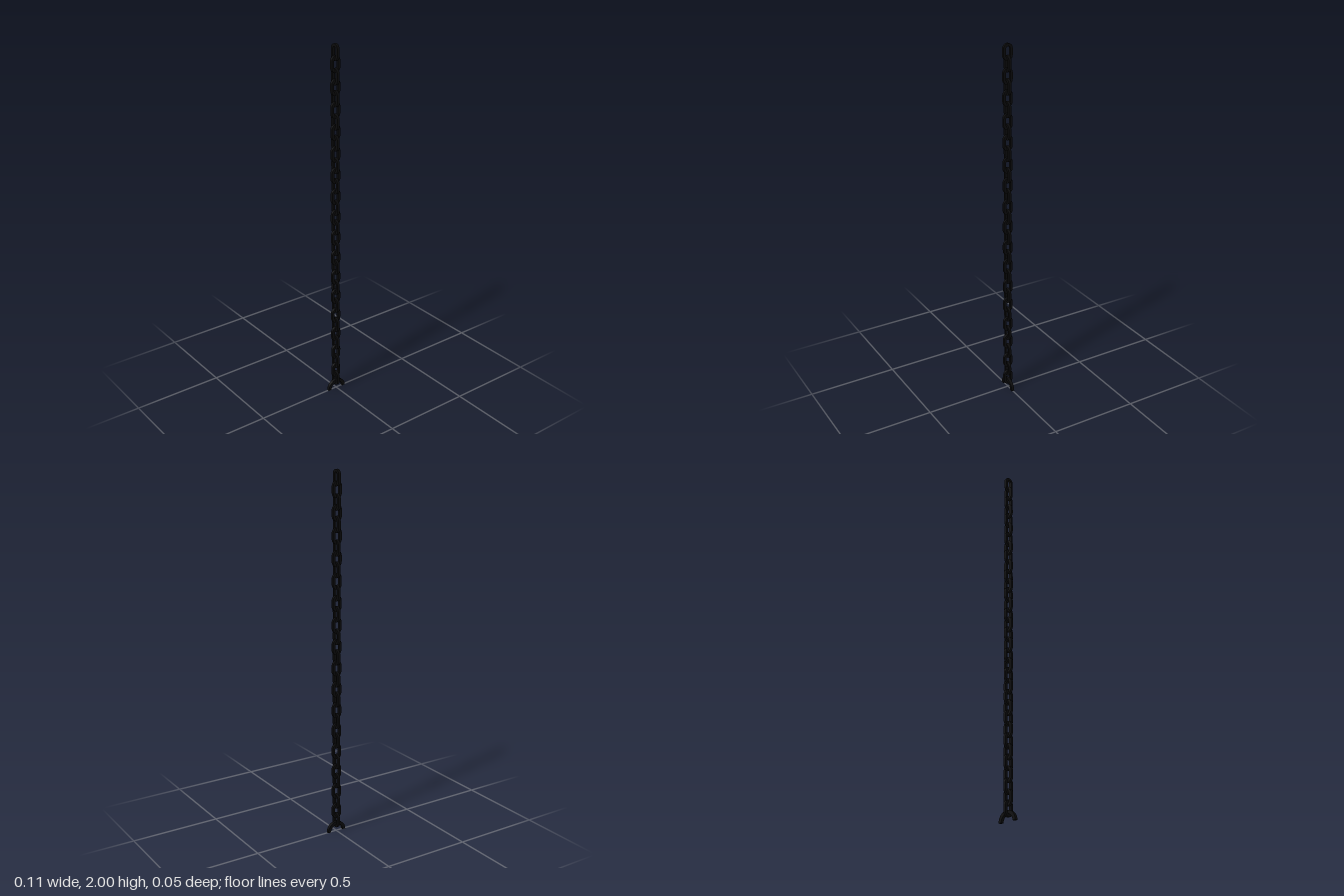
import * as THREE from 'three';

const HALF_W = 0.0265;    // outer half width of a link
const HALF_H = 0.0435;    // outer half height of a link
const BAR = 0.0142;       // width and depth of a link's square bar

// Outline of an oval with half-round ends
function oval(path, halfW, halfH) {
  const straight = halfH - halfW;
  path.absarc(0, straight, halfW, 0, Math.PI, false);
  path.absarc(0, -straight, halfW, Math.PI, Math.PI * 2, false);
  path.closePath();
  return path;
}

// Flat-sided extrusion centred on z = 0
function plate(shape, depth, curveSegments) {
  const geometry = new THREE.ExtrudeGeometry(shape, { depth, curveSegments, bevelEnabled: false });
  return geometry.translate(0, 0, -depth / 2);
}

export function createModel() {
  const group = new THREE.Group();
  const iron = new THREE.MeshStandardMaterial({ color: 0x0a0a0b });
  iron.name = 'blackIron';

  // Oval link of square bar
  const linkShape = oval(new THREE.Shape(), HALF_W, HALF_H);
  linkShape.holes.push(oval(new THREE.Path(), HALF_W - BAR, HALF_H - BAR));
  const linkGeometry = plate(linkShape, BAR, 8);

  const addLink = (name, y, turn) => {
    const link = new THREE.Mesh(linkGeometry, iron);
    link.name = name;
    link.position.set(-0.0015 - 0.0018 * y, y, 0); // the chain leans very slightly
    link.rotation.y = turn;
    group.add(link);
  };

  // Links seen open from the side, alternating with links seen open from the front
  for (let i = 0; i < 17; i++) {
    addLink('sideLink' + (i + 1), 1.9565 - i * 0.1182 - (i % 2) * 0.005, Math.PI / 2);
    if (i < 16) addLink('frontLink' + (i + 1), 1.897 - i * 0.1184, 0);
  }

  // Half ring hanging from the last link
  const outer = 0.0568, inner = 0.0388;
  const archShape = new THREE.Shape();
  archShape.absarc(0, 0, outer, 0, Math.PI, false);
  archShape.absarc(0, 0, inner, Math.PI, 0, true);
  archShape.closePath();
  const ring = new THREE.Mesh(plate(archShape, 0.0165, 14), iron);
  ring.name = 'endRing';
  group.add(ring);

  return group;
}
